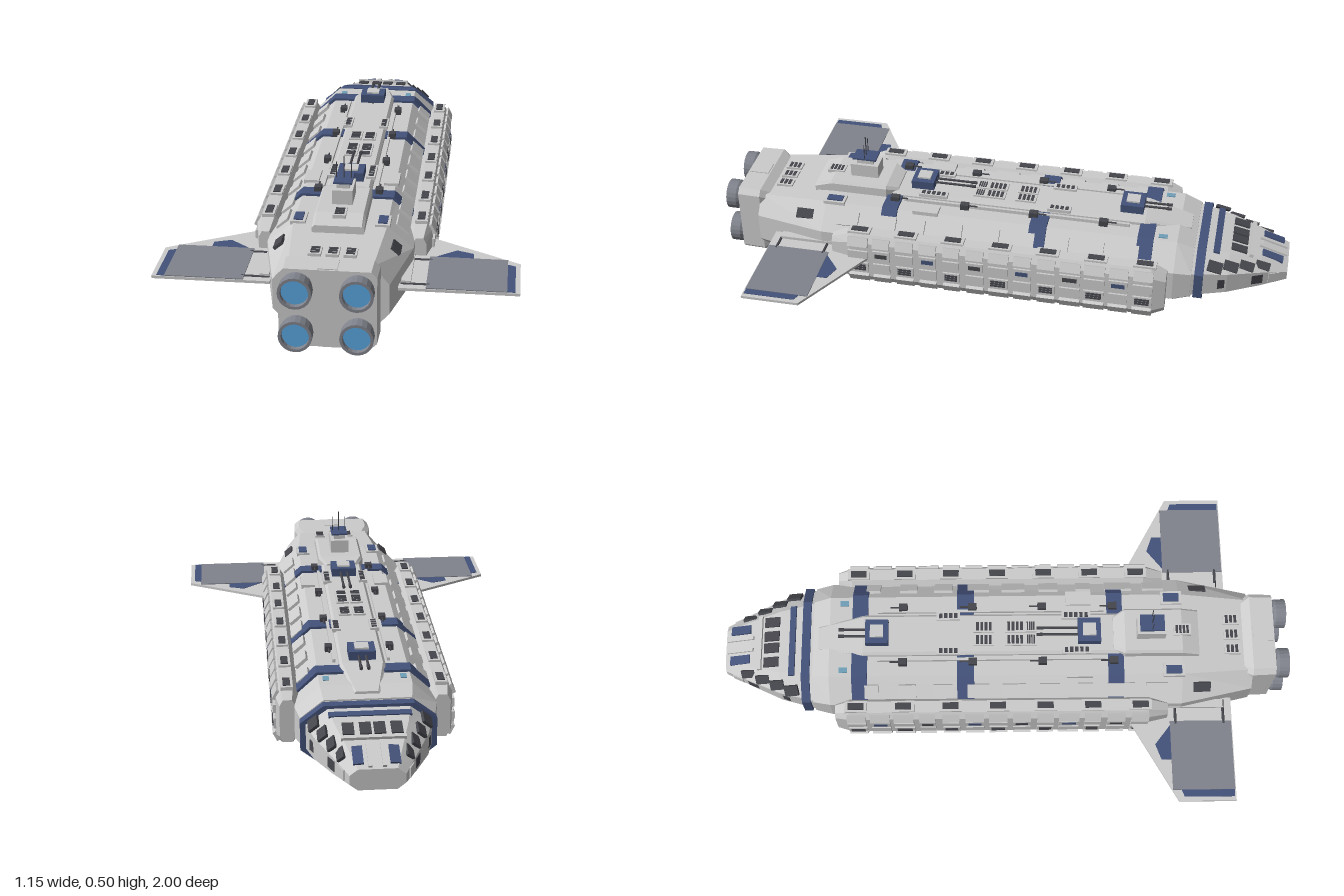
import * as THREE from 'three';

const mat = (color) => new THREE.MeshStandardMaterial({ color, flatShading: true, side: THREE.DoubleSide });

export function createModel() {
  const ship = new THREE.Group();
  ship.name = 'spaceship';
  const grey = mat(0xcccccc), blue = mat(0x44527a), dark = mat(0x45464c), panel = mat(0x80838c), glow = mat(0x5aa5e0);

  let seed = 7;
  const rand = () => (seed = (seed * 16807) % 2147483647) / 2147483647;

  const add = (name, geo, material, parent = ship) => {
    const m = new THREE.Mesh(geo, material);
    m.name = name;
    parent.add(m);
    return m;
  };
  const box = (name, material, [w, h, d], [x, y, z], rz = 0, rx = 0) => {
    const m = add(name, new THREE.BoxGeometry(w, h, d), material);
    m.position.set(x, y, z);
    m.rotation.set(rx, 0, rz);
    return m;
  };
  const pair = (name, material, size, [x, y, z], rz = 0, rx = 0) => {
    for (const s of [1, -1]) box(name, material, size, [s * x, y, z], s * rz, rx);
  };
  const rod = (name, material, r, len, [x, y, z], axis = 'y', sides = 6) => {
    const g = new THREE.CylinderGeometry(r, r, len, sides);
    if (axis === 'z') g.rotateX(Math.PI / 2);
    if (axis === 'x') g.rotateZ(Math.PI / 2);
    add(name, g, material).position.set(x, y, z);
  };

  // Skin through cross-sections [z, points]; points run anticlockwise seen from +z
  const loft = (name, material, sections) => {
    const p = [];
    const tri = (...v) => v.forEach((a) => p.push(...a));
    const rings = sections.map(([z, pts]) => pts.map(([x, y]) => [x, y, z]));
    const n = rings[0].length;
    for (let k = 0; k < rings.length - 1; k++) {
      for (let i = 0; i < n; i++) {
        const j = (i + 1) % n, a = rings[k], b = rings[k + 1];
        tri(a[i], a[j], b[j]);
        tri(a[i], b[j], b[i]);
      }
    }
    const first = rings[0], last = rings[rings.length - 1];
    for (let i = 1; i < n - 1; i++) {
      tri(first[0], first[i + 1], first[i]);
      tri(last[0], last[i], last[i + 1]);
    }
    const g = new THREE.BufferGeometry();
    g.setAttribute('position', new THREE.Float32BufferAttribute(p, 3));
    g.computeVertexNormals();
    return add(name, g, material);
  };
  // Eight-sided section: half width, flat half width, bottom, lower knee, upper knee, top
  const octo = (w, f, y0, y1, y2, y3, cx = 0) => [
    [w, y1], [w, y2], [f, y3], [-f, y3], [-w, y2], [-w, y1], [-f, y0], [f, y0],
  ].map(([x, y]) => [x + cx, y]);

  // Main hull and nose
  loft('hull', grey, [
    [-0.68, octo(0.215, 0.14, 0.08, 0.14, 0.23, 0.29)],
    [-0.62, octo(0.228, 0.148, 0.065, 0.13, 0.238, 0.312)],
    [0.62, octo(0.235, 0.15, 0.058, 0.125, 0.24, 0.312)],
    [0.87, octo(0.18, 0.13, 0.08, 0.135, 0.235, 0.296)],
  ]);
  loft('nose', grey, [
    [-1, octo(0.085, 0.06, 0.145, 0.165, 0.195, 0.215)],
    [-0.91, octo(0.128, 0.085, 0.125, 0.155, 0.21, 0.243)],
    [-0.8, octo(0.178, 0.115, 0.102, 0.148, 0.222, 0.268)],
    [-0.67, octo(0.212, 0.138, 0.083, 0.14, 0.23, 0.286)],
  ]);
  const band = (z0, z1, e) => loft('blueBand', blue,
    [z0, z1].map((z) => [z, octo(0.228 + e, 0.15 + e / 2, 0.062 - e, 0.13, 0.24, 0.312 + e)]));
  loft('noseCollar', blue, [-0.72, -0.69].map((z) => [z, octo(0.216, 0.143, 0.079, 0.138, 0.232, 0.289)]));
  [[-0.54, -0.485], [-0.17, -0.11], [0.36, 0.415]].forEach(([a, b]) => band(a, b, 0.008));

  // Nose windows and vents, tilted with the roof
  const tilt = -0.22;
  box('noseStripe', blue, [0.26, 0.008, 0.022], [0, 0.275, -0.755], 0, tilt);
  for (const x of [0.022, 0.075]) pair('bridgeWindow', dark, [0.036, 0.01, 0.055], [x, 0.262, -0.83], 0, tilt);
  box('noseStep', grey, [0.2, 0.012, 0.014], [0, 0.255, -0.873], 0, tilt);
  pair('noseWindow', blue, [0.032, 0.01, 0.075], [0.056, 0.232, -0.945], -0.1, -0.3);
  pair('noseRib', grey, [0.012, 0.014, 0.1], [0.022, 0.232, -0.945], 0, -0.3);
  for (const s of [1, -1]) for (let i = 0; i < 4; i++) {
    const w = box('noseSideVent', i % 2 ? dark : grey, [0.01, 0.035, 0.04], [s * (0.105 + i * 0.024), 0.183, -0.955 + i * 0.056]);
    w.rotation.y = s * 0.42;
    const c = box('noseCheekPanel', dark, [0.035, 0.01, 0.05], [s * (0.105 + i * 0.024), 0.224 + i * 0.008, -0.915 + i * 0.053], -s * 0.75, tilt);
    c.scale.x = 0.8 + i * 0.1;
  }

  // Dorsal spine, raised deck and ventral keel
  loft('dorsalSpine', grey, [
    [-0.66, octo(0.04, 0.035, 0.29, 0.3, 0.302, 0.306)],
    [-0.5, octo(0.075, 0.066, 0.29, 0.3, 0.322, 0.332)],
    [0.4, octo(0.075, 0.066, 0.29, 0.3, 0.322, 0.332)],
  ]);
  pair('deckRail', grey, [0.01, 0.014, 0.8], [0.09, 0.317, -0.05]);
  loft('keel', grey, [
    [-0.45, octo(0.06, 0.05, 0.058, 0.062, 0.066, 0.07)],
    [-0.38, octo(0.085, 0.075, 0.047, 0.053, 0.066, 0.07)],
    [0.5, octo(0.085, 0.075, 0.047, 0.053, 0.066, 0.07)],
  ]);
  pair('keelRail', grey, [0.012, 0.02, 0.95], [0.105, 0.055, 0.06]);
  box('keelCrossRail', grey, [0.22, 0.016, 0.012], [0, 0.052, -0.415]);

  // Slatted vents along the spine and rear deck
  const vent = (x, y, z, w, d, n) => {
    box('ventFrame', grey, [w + 0.012, 0.012, d + 0.012], [x, y, z]);
    for (let i = 0; i < n; i++) box('ventSlat', dark, [w, 0.006, d / n * 0.65], [x, y + 0.005, z + ((i + 0.5) / n - 0.5) * d]);
  };
  for (const z of [-0.075, 0.035, 0.09]) for (const x of [0.025, -0.025]) vent(x, 0.332, z, 0.032, z > 0.06 ? 0.03 : 0.06, 4);
  for (const x of [-0.055, 0, 0.055]) vent(x, 0.302, 0.8, 0.028, 0.045, 3);
  for (const s of [1, -1]) {
    vent(s * 0.065, 0.334, 0.25, 0.018, 0.09, 5);
    vent(s * 0.065, 0.334, -0.2, 0.018, 0.07, 4);
  }

  // Hatches on the upper deck and the underside
  pair('rearHatchFrame', grey, [0.048, 0.012, 0.075], [0.135, 0.313, 0.59]);
  pair('rearHatch', blue, [0.03, 0.012, 0.055], [0.135, 0.317, 0.59]);
  pair('cornerVent', dark, [0.035, 0.01, 0.06], [0.185, 0.274, 0.69], -0.7);
  pair('deckHatch', grey, [0.05, 0.014, 0.09], [0.135, 0.314, 0.26]);
  pair('deckMarker', mat(0x6f9fb8), [0.02, 0.006, 0.03], [0.125, 0.312, -0.57]);
  for (let i = 0; i < 9; i++) {
    const z = -0.5 + i * 0.125;
    pair('roofPlate', grey, [0.05, 0.012, 0.05 + rand() * 0.05], [0.193, 0.278, z + 0.03], -0.72);
    pair('bellyPlate', i % 3 ? grey : dark, [0.05, 0.012, 0.05 + rand() * 0.05], [0.19, 0.092, z + 0.03], 0.68);
    pair('bellyHatch', i % 2 ? dark : grey, [0.03, 0.012, 0.06], [0.13, 0.059, z + 0.05]);
    if (i !== 3) pair('keelPanel', dark, [0.04, 0.008, 0.04 + rand() * 0.03], [0.035, 0.047, -0.3 + i * 0.095]);
  }

  // Side pods with rows of armour plates
  for (const s of [1, -1]) {
    const sec = (w, k) => octo(w, w * 0.55, 0.18 - k, 0.18 - k * 0.72, 0.18 + k * 0.72, 0.18 + k, s * 0.25);
    loft('sidePod', grey, [
      [-0.6, sec(0.026, 0.075)], [-0.55, sec(0.038, 0.097)], [0.5, sec(0.038, 0.097)], [0.57, sec(0.022, 0.07)],
    ]);
    for (let i = 0; i < 13; i++) {
      const z = -0.525 + i * 0.083, len = 0.055 + rand() * 0.018;
      box('upperArmour', grey, [0.012, 0.034, len], [s * 0.286, 0.254, z], s * 0.45);
      box('lowerArmour', grey, [0.012, 0.034, len], [s * 0.286, 0.106, z], -s * 0.45);
      box('midArmour', grey, [0.012, i % 2 ? 0.042 : 0.03, len], [s * 0.289, 0.205, z]);
      box('lowMidArmour', grey, [0.012, 0.036, len], [s * 0.289, 0.153, z]);
      if (i % 2 === 0) {
        box('podTopFrame', grey, [0.04, 0.012, 0.078], [s * 0.25, 0.278, z]);
        box('podTopVent', dark, [0.024, 0.012, 0.056], [s * 0.25, 0.281, z]);
        for (let k = 0; k < 3; k++) box('podSideSlat', dark, [0.006, 0.006, len * 0.75], [s * 0.295, 0.144 + k * 0.009, z]);
      } else {
        box('podWindow', i % 4 === 1 ? blue : dark, [0.006, 0.016, len * 0.7], [s * 0.294, 0.207, z]);
      }
    }
  }

  // Swept wings with flaps and hinges
  for (const s of [1, -1]) {
    const flat = (name, material, pts, y, h) => {
      const shape = new THREE.Shape(pts.map(([x, z]) => new THREE.Vector2(s * x, -z)));
      const g = new THREE.ExtrudeGeometry(shape, { depth: h, bevelEnabled: false });
      add(name, g.rotateX(-Math.PI / 2), material).position.y = y;
    };
    flat('wing', grey, [[0.2, 0.4], [0.29, 0.44], [0.575, 0.6], [0.575, 0.8], [0.2, 0.8]], 0.181, 0.009);
    flat('wingStripe', blue, [[0.3, 0.58], [0.37, 0.525], [0.425, 0.545], [0.425, 0.58]], 0.179, 0.0125);
    flat('wingTipStripe', blue, [[0.535, 0.61], [0.56, 0.62], [0.56, 0.795], [0.535, 0.795]], 0.179, 0.0125);
    flat('wingFlap', panel, [[0.285, 0.58], [0.535, 0.58], [0.535, 0.797], [0.285, 0.797]], 0.184, 0.009);
    flat('wingUnderside', blue, [[0.29, 0.49], [0.54, 0.63], [0.54, 0.79], [0.29, 0.79]], 0.176, 0.004);
    for (const z of [0.6, 0.77]) rod('wingHinge', dark, 0.006, 0.09, [s * 0.25, 0.188, z], 'x');
    box('wingRoot', grey, [0.03, 0.03, 0.22], [s * 0.222, 0.185, 0.66]);
  }

  // Engine block and four nozzles
  const block = (w, a, b) => octo(w, w - 0.018, a, a + 0.018, b - 0.018, b);
  loft('engineBlock', grey, [[0.84, block(0.135, 0.075, 0.298)], [0.87, block(0.153, 0.056, 0.315)], [0.95, block(0.15, 0.056, 0.315)]]);
  const profile = [[0.044, 0.93], [0.05, 0.945], [0.047, 0.955], [0.052, 0.965], [0.052, 1], [0.043, 1], [0.041, 0.965]]
    .map(([r, z]) => new THREE.Vector2(r, z));
  for (const x of [-0.093, 0.093]) for (const y of [0.112, 0.257]) {
    add('engineNozzle', new THREE.LatheGeometry(profile, 20).rotateX(Math.PI / 2), panel).position.set(x, y, 0);
    add('engineGlow', new THREE.CircleGeometry(0.044, 20), glow).position.set(x, y, 0.985);
  }
  for (const y of [0.31, 0.06]) box('engineBlockRib', grey, [0.06, 0.016, 0.07], [0, y, 0.91]);

  // Command tower and antennas
  loft('towerBase', grey, [
    [0.38, octo(0.06, 0.052, 0.3, 0.31, 0.33, 0.338)], [0.42, octo(0.083, 0.075, 0.3, 0.31, 0.343, 0.353)],
    [0.62, octo(0.083, 0.075, 0.3, 0.31, 0.343, 0.353)], [0.68, octo(0.083, 0.075, 0.3, 0.31, 0.325, 0.333)],
  ]);
  box('tower', grey, [0.066, 0.05, 0.1], [0, 0.376, 0.51]);
  box('towerNeck', grey, [0.042, 0.025, 0.06], [0, 0.41, 0.51]);
  box('sensorPlate', blue, [0.06, 0.006, 0.085], [0, 0.423, 0.51]);
  rod('mainAntenna', dark, 0.002, 0.08, [0, 0.46, 0.51]);
  for (const x of [-0.024, 0.024]) rod('sideAntenna', dark, 0.0015, 0.055, [x, 0.4525, 0.51]);
  vent(0, 0.352, 0.62, 0.03, 0.05, 4);

  // Twin-gun turrets, guns toward the nose; dir = -1 hangs below
  const turret = (y, z, dir, reach) => {
    rod('turretRing', dark, 0.036, 0.014, [0, y, z], 'y', 12);
    box('turretBody', blue, [0.088, 0.03, 0.08], [0, y + dir * 0.019, z]);
    box('turretCap', dir > 0 ? grey : blue, [0.046, 0.008, 0.046], [0, y + dir * 0.036, z]);
    for (const x of [-0.012, 0.012]) {
      rod('gunBarrel', dark, 0.0045, reach, [x, y + dir * 0.018, z - 0.035 - reach / 2], 'z');
      rod('gunMuzzle', dark, 0.006, 0.02, [x, y + dir * 0.018, z - 0.035 - reach], 'z');
    }
  };
  turret(0.332, -0.45, 1, 0.09);
  turret(0.332, 0.295, 1, 0.14);
  turret(0.045, -0.135, -1, 0.14);

  // Small point-defence guns on the deck
  for (const z of [-0.36, -0.115, 0.13, 0.38]) for (const x of [-0.102, 0.102]) {
    box('pointDefence', dark, [0.024, 0.02, 0.03], [x, 0.326, z]);
    rod('pointDefenceBarrel', dark, 0.003, 0.04, [x, 0.329, z - 0.025], 'z');
  }
  return ship;
}
